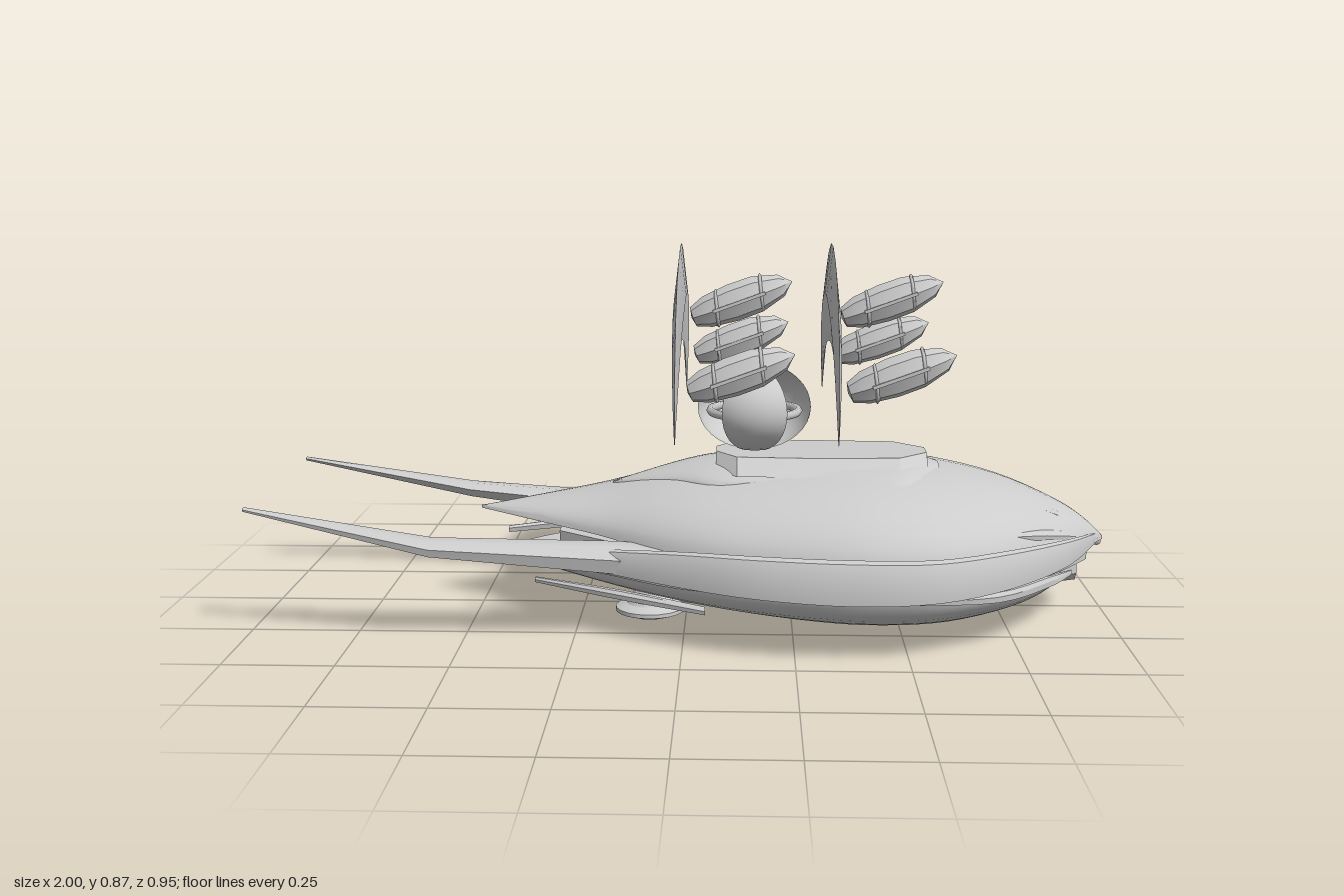
import * as THREE from 'three';
import { toCreasedNormals } from 'three/addons/utils/BufferGeometryUtils.js';

const hullGrey = new THREE.MeshStandardMaterial({ color: 0xcccccc, side: THREE.DoubleSide });
hullGrey.name = 'hullGrey';

// Smoothly resample rows of numbers, n steps per span
function smooth(rows, n = 4) {
  const out = [], last = rows.length - 1;
  const at = i => rows[Math.min(last, Math.max(0, i))];
  for (let i = 0; i < last; i++) {
    for (let s = 0; s < n; s++) {
      const t = s / n;
      out.push(rows[i].map((p, k) => {
        const a = at(i - 1)[k], c = at(i + 1)[k], d = at(i + 2)[k];
        return p + 0.5 * t * (c - a + t * (2 * a - 5 * p + 4 * c - d + t * (3 * (p - c) + d - a)));
      }));
    }
  }
  out.push(rows[last]);
  return out;
}

// Skin closed rings of [x, y, z] points, with capped ends
function loft(rings, crease = 0.6) {
  const m = rings[0].length, pos = rings.flat(2), index = [];
  for (let i = 0; i < rings.length - 1; i++) {
    for (let j = 0; j < m; j++) {
      const a = i * m + j, b = i * m + (j + 1) % m;
      index.push(a, b, a + m, b, b + m, a + m);
    }
  }
  const e = (rings.length - 1) * m;
  for (let j = 1; j < m - 1; j++) index.push(0, j + 1, j, e, e + j, e + j + 1);
  const g = new THREE.BufferGeometry();
  g.setAttribute('position', new THREE.Float32BufferAttribute(pos, 3));
  g.setIndex(index);
  g.computeVertexNormals();
  return toCreasedNormals(g, crease);
}

// Arched shell from rows of [x, half width, edge y, crown y]
function shell(rows, n = 4) {
  return loft(smooth(rows, n).map(([x, w, e, c]) => {
    const ring = [];
    for (let j = 0; j <= 20; j++) {
      const a = Math.PI * j / 20;
      ring.push([x, e + (c - e) * Math.sin(a), Math.max(w, 0) * Math.cos(a)]);
    }
    return ring;
  }));
}

// Blade or spar from rows of [x, y, z, half width, half height]
function spar(rows, side, n = 4) {
  return loft(smooth(rows, n).map(([x, y, z, w, h]) =>
    [[-1, 0.35], [-0.3, 1], [0.4, 0.9], [1, 0.2], [0.9, -0.9], [-0.6, -1]]
      .map(([u, v]) => [x, y + v * h, side * (z + u * w)])), 0.5);
}

function add(parent, name, geometry, x = 0, y = 0, z = 0) {
  const mesh = new THREE.Mesh(geometry, hullGrey);
  mesh.name = name;
  mesh.position.set(x, y, z);
  parent.add(mesh);
  return mesh;
}

// Slim faceted pod, pointing +x and tilted up
function makePod() {
  const pod = new THREE.Group();
  pod.name = 'pod';
  const profile = [[0, -0.125], [0.024, -0.12], [0.038, -0.085], [0.045, -0.02], [0.044, 0.04],
    [0.027, 0.1], [0.012, 0.115], [0, 0.128]].map(p => new THREE.Vector2(...p));
  const body = toCreasedNormals(new THREE.LatheGeometry(profile, 8), 0.5);
  add(pod, 'podBody', body.rotateZ(-Math.PI / 2));
  for (const [x, r] of [[-0.06, 0.042], [0.05, 0.042]]) {
    const band = new THREE.TorusGeometry(r, 0.004, 4, 8).rotateY(Math.PI / 2);
    add(pod, 'podBand', band, x).rotation.z = -0.25;
  }
  for (const s of [-1, 1])
    add(pod, 'podRail', new THREE.BoxGeometry(0.13, 0.008, 0.008), -0.005, 0, s * 0.043);
  pod.rotation.z = 0.35;
  return pod;
}

// Crescent sail, thickest along its middle line
function crescent() {
  const half = [[0.4, 0.48, 0.385, 0.47], [0.398, 0.56, 0.355, 0.515], [0.37, 0.645, 0.31, 0.56],
    [0.325, 0.73, 0.25, 0.595], [0.245, 0.805, 0.17, 0.622], [0.15, 0.85, 0.09, 0.636],
    [0.05, 0.875, 0.03, 0.643]];
  const all = [...half, ...half.map(([a, b, c, d]) => [-a, b, -c, d]).reverse()];
  return loft(all.map(([zo, yo, zi, yi], i) => {
    const t = 0.014 * Math.sin(Math.PI * (i + 0.3) / (all.length - 0.4));
    const z = (zo + zi) / 2, y = (yo + yi) / 2;
    return [[0, yo, zo], [t, y, z], [0, yi, zi], [-t, y, z]];
  }), 0.4);
}

export function createModel() {
  const ship = new THREE.Group();
  ship.name = 'ship';

  // Main hull shells
  add(ship, 'upperHull', shell([
    [-0.5, 0, 0.235, 0.242], [-0.35, 0.09, 0.225, 0.268], [-0.2, 0.18, 0.215, 0.295],
    [-0.05, 0.28, 0.2, 0.33], [0.1, 0.35, 0.195, 0.35], [0.3, 0.4, 0.19, 0.367],
    [0.45, 0.41, 0.19, 0.367], [0.6, 0.38, 0.185, 0.353], [0.75, 0.29, 0.18, 0.32],
    [0.88, 0.165, 0.175, 0.268], [0.95, 0.08, 0.172, 0.225], [1, 0, 0.17, 0.178]]));
  add(ship, 'lowerHull', shell([
    [-0.4, 0.06, 0.14, 0.125], [-0.3, 0.15, 0.14, 0.1], [-0.1, 0.28, 0.135, 0.065],
    [0.1, 0.365, 0.13, 0.035], [0.3, 0.405, 0.13, 0.01], [0.45, 0.41, 0.13, 0.001],
    [0.6, 0.385, 0.13, 0.008], [0.75, 0.29, 0.125, 0.032], [0.85, 0.17, 0.12, 0.06],
    [0.92, 0.03, 0.115, 0.1]]));
  const core = [[-0.3, 0.1], [-0.1, 0.25], [0.1, 0.34], [0.37, 0.39], [0.58, 0.375],
    [0.75, 0.27], [0.88, 0.13], [0.96, 0.02]];
  add(ship, 'hullCore', loft(smooth(core).map(([x, w]) =>
    [[x, 0.205, -w], [x, 0.205, w], [x, 0.125, w], [x, 0.125, -w]])));

  // Raised deck and its layered plates
  add(ship, 'deckPlate', shell([
    [-0.18, 0.0, 0.3, 0.305], [-0.03, 0.09, 0.32, 0.348], [0.08, 0.16, 0.325, 0.366],
    [0.25, 0.17, 0.33, 0.377], [0.42, 0.21, 0.325, 0.378], [0.52, 0.2, 0.325, 0.373],
    [0.6, 0.04, 0.345, 0.358]]));
  const deckTop = [[0.07, 0.03], [0.12, 0.1], [0.3, 0.11], [0.5, 0.1], [0.57, 0.03]];
  add(ship, 'deckTop', loft(deckTop.map(([x, w]) =>
    [[x, 0.35, -w - 0.05], [x, 0.386, -w], [x, 0.386, w], [x, 0.35, w + 0.05]]), 0.3));

  // Nose, chin and keel
  add(ship, 'noseBall', new THREE.SphereGeometry(0.012, 12, 8), 0.986, 0.167, 0);
  add(ship, 'chin', loft([[0.7, 0.09], [0.89, 0.085], [0.93, 0.06]].map(([x, w]) =>
    [[x, 0.15, -w], [x, 0.15, w], [x, 0.1, w], [x, 0.08, w * 0.7], [x, 0.08, -w * 0.7],
      [x, 0.1, -w]]), 0.3));
  add(ship, 'keel', loft([[0.45, 0.02, 0.002], [0.62, 0.14, 0.005], [0.78, 0.12, 0.03],
    [0.85, 0.02, 0.052]].map(([x, w, y]) =>
    [[x, y, 0], [x, y + 0.015, w], [x, y + 0.03, w], [x, y + 0.025, 0],
      [x, y + 0.03, -w], [x, y + 0.015, -w]]), 0.3));

  for (const s of [1, -1]) {
    // Side rim and swept rear arm
    add(ship, 'sideRim', spar([
      [-0.2, 0.18, 0.27, 0.015, 0.025], [0, 0.185, 0.365, 0.022, 0.04],
      [0.17, 0.185, 0.425, 0.025, 0.047], [0.37, 0.182, 0.45, 0.025, 0.05],
      [0.56, 0.182, 0.43, 0.025, 0.047], [0.73, 0.185, 0.335, 0.025, 0.042],
      [0.88, 0.185, 0.19, 0.02, 0.03], [0.975, 0.18, 0.03, 0.012, 0.012]], s));
    add(ship, 'rearArm', spar([
      [-1, 0.295, 0.28, 0.01, 0.004], [-0.57, 0.217, 0.295, 0.05, 0.016],
      [-0.15, 0.185, 0.25, 0.065, 0.03], [0.02, 0.18, 0.27, 0.06, 0.025]], s, 1));

    // Thin prongs and strips around the lower edge
    add(ship, 'rearProng', spar([
      [-0.45, 0.155, 0.11, 0.008, 0.008], [-0.2, 0.155, 0.235, 0.014, 0.012],
      [0, 0.15, 0.345, 0.014, 0.013], [0.3, 0.14, 0.42, 0.012, 0.01]], s));
    add(ship, 'lowerProng', spar([
      [-0.36, 0.085, 0.1, 0.008, 0.006], [-0.15, 0.085, 0.22, 0.015, 0.01],
      [0.05, 0.075, 0.31, 0.012, 0.008]], s));
    add(ship, 'frontStrip', spar([
      [0.5, 0.128, 0.4, 0.01, 0.008], [0.7, 0.125, 0.345, 0.013, 0.012],
      [0.84, 0.12, 0.2, 0.012, 0.012], [0.91, 0.115, 0.1, 0.006, 0.005]], s));

    // Fanned nose blades
    add(ship, 'noseBlade', spar([
      [0.76, 0.295, 0.12, 0.01, 0.006], [0.87, 0.252, 0.085, 0.02, 0.01],
      [0.98, 0.185, 0.015, 0.006, 0.006]], s));
    add(ship, 'cheekBlade', spar([
      [0.66, 0.245, 0.3, 0.008, 0.006], [0.83, 0.228, 0.19, 0.018, 0.01],
      [0.985, 0.178, 0.02, 0.006, 0.005]], s));

    // Round pads under the stern
    const pad = new THREE.LatheGeometry([[0, 0.034], [0.05, 0.034], [0.08, 0.045],
      [0.08, 0.054], [0.055, 0.064], [0.03, 0.1]].map(p => new THREE.Vector2(...p)), 20);
    add(ship, 'sternPad', toCreasedNormals(pad, 0.4), -0.08, 0, s * 0.2);
  }

  // Floating orb: core, ring and three curved petals
  const orb = new THREE.Group();
  orb.name = 'orb';
  orb.position.set(0.16, 0.49, 0);
  ship.add(orb);
  add(orb, 'orbCore', new THREE.SphereGeometry(0.075, 16, 12)).scale.y = 1.1;
  add(orb, 'orbRing', new THREE.TorusGeometry(0.105, 0.01, 6, 32).rotateX(Math.PI / 2), 0, -0.01, 0);
  for (let i = 0; i < 3; i++) {
    const petal = new THREE.SphereGeometry(0.135, 10, 14, Math.PI / 2 - 0.6, 1.2, 0.36, Math.PI - 0.72);
    const mesh = add(orb, 'orbPetal', petal.scale(1, 0.78, 1));
    mesh.rotation.y = i * Math.PI * 2 / 3;
  }

  // Two crescent sails, each with three pods
  for (const x of [-0.015, 0.34]) {
    add(ship, 'crescentSail', crescent(), x);
    for (const [y, z] of [[0.745, 0], [0.613, 0.285], [0.613, -0.285]]) {
      const pod = makePod();
      pod.position.set(x + 0.142, y, z);
      ship.add(pod);
    }
  }
  return ship;
}
